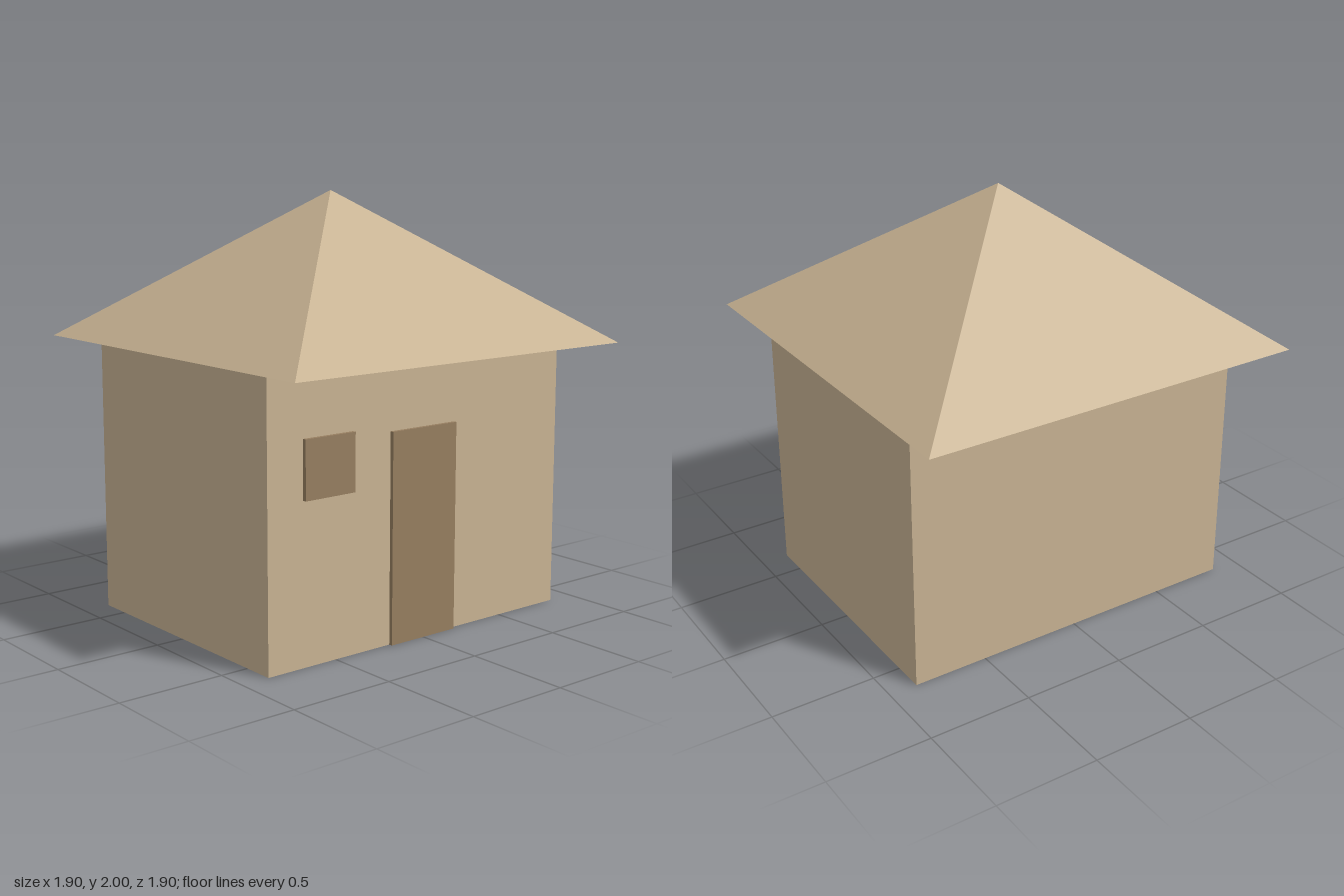
import * as THREE from 'three';

export function createModel() {
  const house = new THREE.Group();
  house.name = 'house';

  const tan = new THREE.MeshStandardMaterial({ color: 0xc8b393 });
  tan.name = 'tan plaster';
  const brown = new THREE.MeshStandardMaterial({ color: 0x967e60 });
  brown.name = 'brown wood';

  const add = (name, geometry, material, x, y, z) => {
    const mesh = new THREE.Mesh(geometry, material);
    mesh.name = name;
    mesh.position.set(x, y, z);
    house.add(mesh);
    return mesh;
  };

  // Walls: one plain block
  const wallHeight = 1.3, wallFront = 0.65;
  add('walls', new THREE.BoxGeometry(1.73, wallHeight, wallFront * 2), tan, 0, wallHeight / 2, 0);

  // Roof: square pyramid with a closed underside, turned so its eaves follow the walls
  const roofHeight = 0.7, eave = 0.952;
  const roofGeometry = new THREE.ConeGeometry(eave * Math.SQRT2, roofHeight, 4).toNonIndexed();
  roofGeometry.rotateY(Math.PI / 4);
  roofGeometry.computeVertexNormals();
  add('roof', roofGeometry, tan, 0, wallHeight + roofHeight / 2, 0);

  // Door and window: shallow panels standing proud of the front wall
  const panelDepth = 0.018;
  const addPanel = (name, width, height, x, bottom) =>
    add(name, new THREE.BoxGeometry(width, height, panelDepth), brown,
      x, bottom + height / 2, wallFront + panelDepth / 2);
  addPanel('door', 0.38, 0.973, 0, 0);
  addPanel('window', 0.272, 0.265, -0.541, 0.735);

  return house;
}
